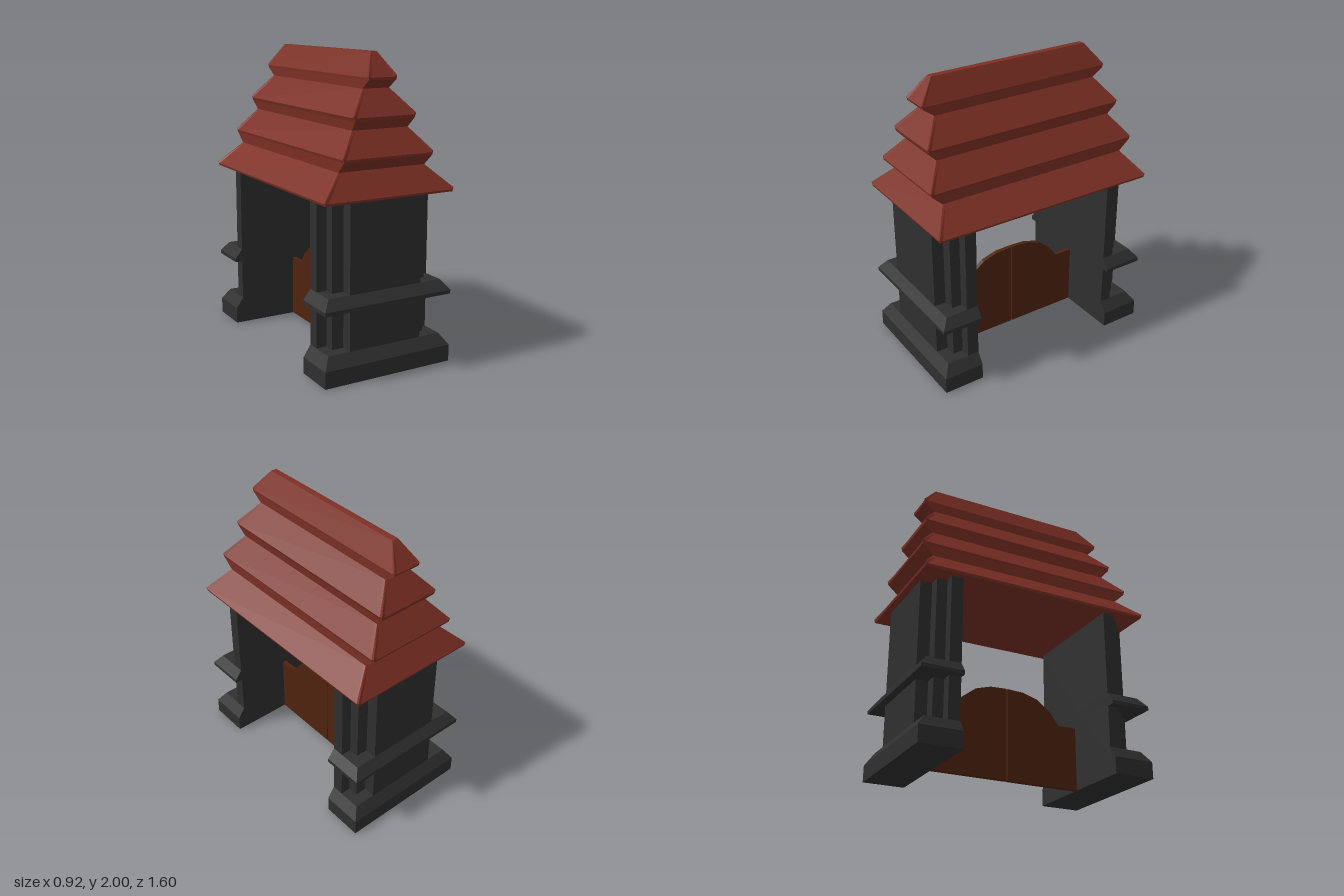
import * as THREE from 'three';

const roofMat = new THREE.MeshStandardMaterial({ color: 0x7d3025 });
roofMat.name = 'red roof';
const stoneMat = new THREE.MeshStandardMaterial({ color: 0x2f2f2f });
stoneMat.name = 'dark stone';
const woodMat = new THREE.MeshStandardMaterial({ color: 0x4f230f });
woodMat.name = 'brown wood';

// Closed rectangular loft. Each row: [half width, z back, z front, y, corner lift].
function loft(rows) {
  const pos = [];
  const rings = rows.map(([w, z0, z1, y, lift = 0]) => {
    const corners = [[w, z1], [w, z0], [-w, z0], [-w, z1]];
    const inset = Math.min(0.02, w / 3);
    const ring = [];
    corners.forEach(([x, z], i) => {
      const [nx, nz] = corners[(i + 1) % 4];
      const dx = Math.sign(nx - x) * inset, dz = Math.sign(nz - z) * inset;
      ring.push([x, y + lift, z], [x + dx, y, z + dz], [nx - dx, y, nz - dz]);
    });
    return ring;
  });
  const tri = (...pts) => pts.forEach((p) => pos.push(...p));
  const n = 12;
  for (let r = 0; r < rings.length - 1; r++) {
    for (let i = 0; i < n; i++) {
      const j = (i + 1) % n, lo = rings[r], hi = rings[r + 1];
      tri(lo[i], lo[j], hi[j]);
      tri(lo[i], hi[j], hi[i]);
    }
  }
  // Flat caps
  const bottom = rings[0], top = rings[rings.length - 1];
  for (let i = 1; i < n - 1; i++) {
    tri(bottom[0], bottom[i + 1], bottom[i]);
    tri(top[0], top[i], top[i + 1]);
  }
  const g = new THREE.BufferGeometry();
  g.setAttribute('position', new THREE.Float32BufferAttribute(pos, 3));
  g.computeVertexNormals();
  return g;
}

function part(name, geometry, material) {
  const m = new THREE.Mesh(geometry, material);
  m.name = name;
  return m;
}

const INNER = 0.52; // inner face of each pier

// Stone pier with stepped corners, plinth and moulding
function pier(name) {
  const g = new THREE.Group();
  g.name = name;
  const half = [[0.41, 0.60], [0.34, 0.60], [0.34, 0.67], [0.26, 0.67], [0.26, 0.75]];
  const plan = [[0.41, INNER], ...half, ...half.map(([x, z]) => [-x, z]).reverse(), [-0.41, INNER]];
  const shape = new THREE.Shape(plan.map(([x, z]) => new THREE.Vector2(x, -z)));
  const shaft = new THREE.ExtrudeGeometry(shape, { depth: 1.03, bevelEnabled: false });
  shaft.rotateX(-Math.PI / 2).translate(0, 0.1, 0);
  g.add(part('shaft', shaft, stoneMat));
  g.add(part('plinth', loft([
    [0.46, INNER, 0.80, 0], [0.46, INNER, 0.80, 0.11], [0.41, INNER, 0.75, 0.185],
  ]), stoneMat));
  g.add(part('moulding', loft([
    [0.46, INNER, 0.80, 0.46], [0.46, INNER, 0.80, 0.485], [0.41, INNER, 0.75, 0.55],
  ]), stoneMat));
  return g;
}

// One gate leaf, drawn in (z, y) and given thickness along x
function gateLeaf(name, side) {
  const top = [[0.39, 0.43], [0.325, 0.515], [0.23, 0.587], [0.12, 0.62], [0.004, 0.625]];
  const outline = [[0.004, 0], [INNER, 0], [INNER, 0.43], ...top];
  const shape = new THREE.Shape(outline.map(([z, y]) => new THREE.Vector2(z * side, y)));
  const geo = new THREE.ExtrudeGeometry(shape, { depth: 0.03, bevelEnabled: false });
  geo.rotateY(-Math.PI / 2).translate(0.03, 0, 0);
  return part(name, geo, woodMat);
}

export function createModel() {
  const model = new THREE.Group();
  model.name = 'gatehouse';

  const front = pier('frontPier');
  const back = pier('backPier');
  back.rotation.y = Math.PI;
  model.add(front, back);

  model.add(gateLeaf('frontGateLeaf', 1), gateLeaf('backGateLeaf', -1));

  // Four roof tiers with upturned eave corners: [half width, half length, y, lift]
  const tiers = [
    [0.455, 0.795, 1.13], [0.46, 0.80, 1.145, 0.012],
    [0.31, 0.69, 1.30], [0.315, 0.765, 1.37], [0.32, 0.768, 1.385, 0.012],
    [0.20, 0.66, 1.54], [0.212, 0.715, 1.60], [0.22, 0.72, 1.62, 0.012],
    [0.095, 0.605, 1.78], [0.098, 0.68, 1.835], [0.10, 0.685, 1.85, 0.01],
    [0.022, 0.575, 2.0],
  ];
  model.add(part('tieredRoof', loft(tiers.map(([w, l, y, lift]) => [w, -l, l, y, lift])), roofMat));
  return model;
}
